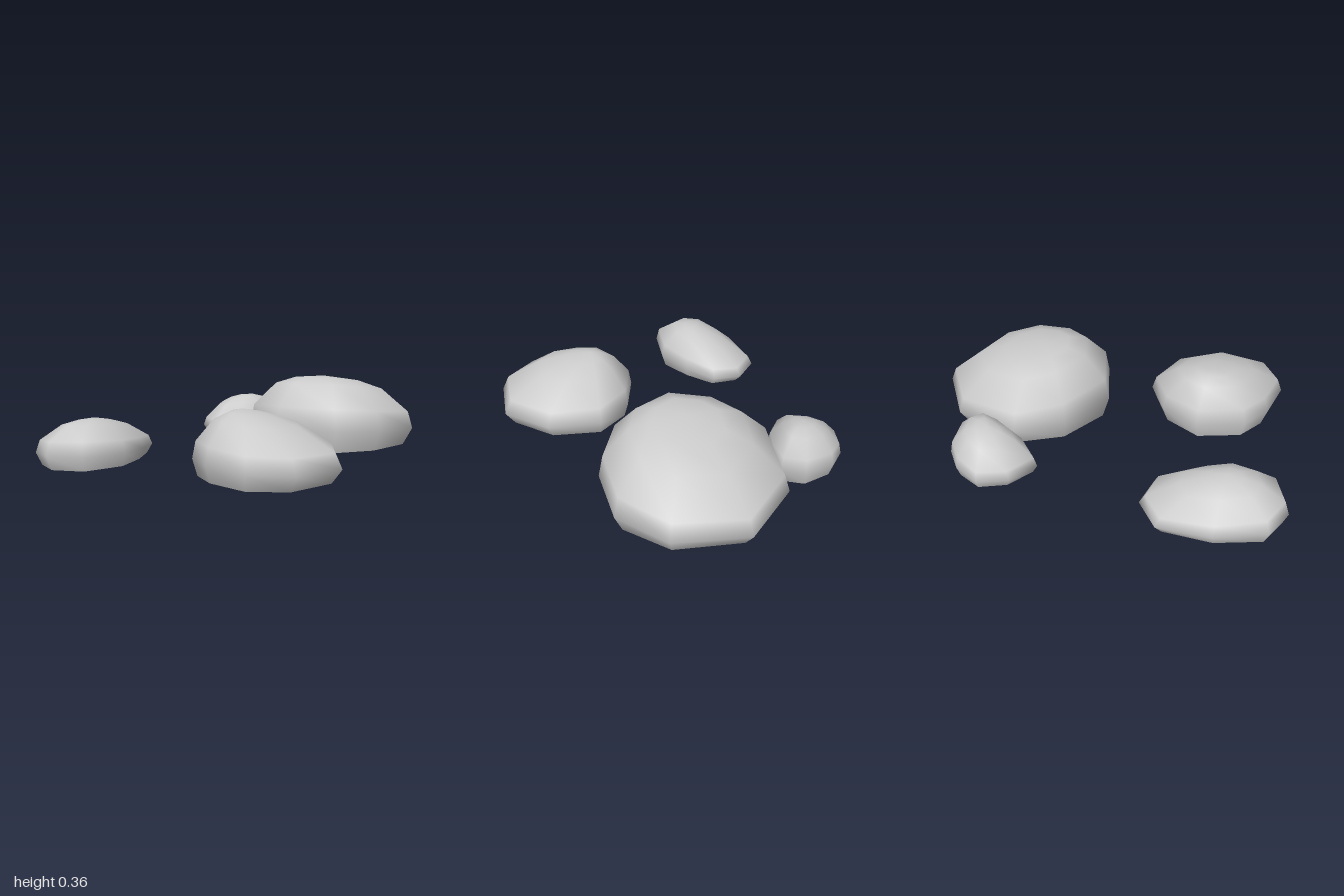
import * as THREE from 'three';

// Rings shared by all rocks, ground to top: [share of the outline kept, share of the height]
const GROUND = [0.9, 0];
const RIM = [1, 0.25];
const UPPER = [[0.94, 0.5], [0.61, 0.83], [0.33, 0.945]];

// Smooth rock shell, open underneath: its plan outline (x, z) shrinks toward the peak,
// a higher taper narrows the crown, and the tilt leans the upper rings along x and z.
function makeRock(name, material, peak, tilt, taper, corners) {
  const outline = corners.map(([x, z]) => new THREE.Vector2(x, z));
  const centre = new THREE.Box2().setFromPoints(outline).getCenter(new THREE.Vector2());
  const [peakX, height, peakZ] = peak;
  const lean = new THREE.Vector2(...tilt);
  const rings = [GROUND, RIM, ...UPPER.map(([s, h]) => [s ** taper, h])];
  const n = outline.length;
  const positions = [];
  const index = [];

  for (const [s, h] of rings) {
    const leanShare = s * Math.min(1, 1.6 * h);
    for (const p of outline) {
      positions.push(
        THREE.MathUtils.lerp(peakX, p.x, s),
        height * h + leanShare * p.clone().sub(centre).dot(lean),
        THREE.MathUtils.lerp(peakZ, p.y, s),
      );
    }
  }
  positions.push(...peak);

  // Walls between the rings, then a fan up to the peak
  const top = (rings.length - 1) * n;
  for (let i = 0; i < n; i++) {
    const k = (i + 1) % n;
    for (let r = 0; r < top; r += n) {
      index.push(r + i, r + n + i, r + n + k, r + i, r + n + k, r + k);
    }
    index.push(top + i, top + n, top + k);
  }

  const geometry = new THREE.BufferGeometry();
  geometry.setAttribute('position', new THREE.Float32BufferAttribute(positions, 3));
  geometry.setIndex(index);
  geometry.computeVertexNormals();
  const mesh = new THREE.Mesh(geometry, material);
  mesh.name = name;
  return mesh;
}

export function createModel() {
  const group = new THREE.Group();
  group.name = 'rocks';
  const stone = new THREE.MeshStandardMaterial({ color: 0xcccccc, side: THREE.DoubleSide });

  group.add(
    makeRock('largeRock', stone, [0.49, 0.355, -0.2], [-0.09, 0.1], 0.87, [
      [0.55, -0.67], [0.88, -0.56], [1, -0.25], [0.91, 0], [0.66, 0.14],
      [0.42, 0.15], [0.17, -0.02], [0.12, -0.31], [0.22, -0.54],
    ]),
    makeRock('frontRock', stone, [-0.13, 0.285, 0.41], [-0.05, -0.02], 1.15, [
      [-0.01, 0.19], [0.19, 0.27], [0.28, 0.51], [0.2, 0.76], [-0.04, 0.87],
      [-0.23, 0.8], [-0.34, 0.6], [-0.36, 0.43], [-0.23, 0.23],
    ]),
    makeRock('sideRock', stone, [-0.73, 0.21, -0.01], [-0.03, 0.12], 1.2, [
      [-0.67, -0.35], [-0.5, -0.31], [-0.43, -0.18], [-0.5, -0.01], [-0.61, 0.15],
      [-0.81, 0.23], [-0.96, 0.15], [-1, 0], [-0.87, -0.2],
    ]),
    makeRock('rearRock', stone, [0.18, 0.21, -0.69], [0.14, 0], 1.05, [
      [0.03, -0.84], [0.17, -0.87], [0.29, -0.84], [0.4, -0.73], [0.4, -0.62],
      [0.28, -0.56], [0.14, -0.53], [-0.02, -0.55], [-0.04, -0.71],
    ]),
  );
  return group;
}
